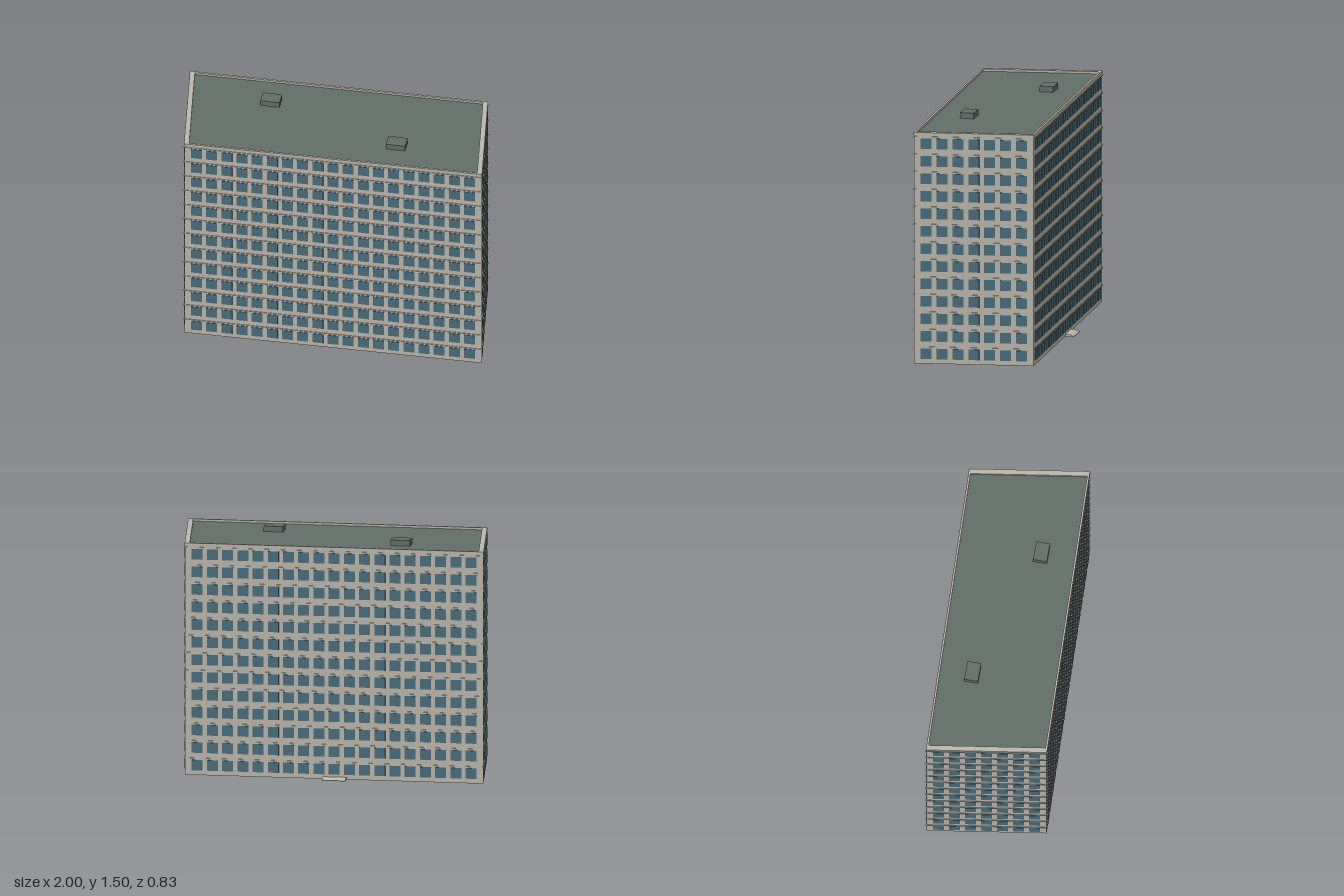
import * as THREE from 'three';
import { mergeGeometries } from 'three/addons/utils/BufferGeometryUtils.js';

const FLOORS = 13, PITCH = 0.112, ROOF = 1.464, TOP = 1.478;

// Ground plan, a skewed rectangle: u runs left to right, v back to front
const A = [-0.997, -0.334], B = [0.886, -0.387], D = [-0.886, 0.409];
const plan = (u, v) => [
  A[0] + u * (B[0] - A[0]) + v * (D[0] - A[0]),
  A[1] + u * (B[1] - A[1]) + v * (D[1] - A[1]),
];
const LONG = 1.885, SHORT = 0.751;

// Outline of the plan, inset by dx on the short sides and dz on the long sides
function corners(dx, dz) {
  const u = dx / LONG, v = dz / SHORT;
  return [plan(u, 1 - v), plan(1 - u, 1 - v), plan(1 - u, v), plan(u, v)]
    .map(([x, z]) => new THREE.Vector2(x, -z));
}

function slab(y, height, outer, hole) {
  const shape = new THREE.Shape(corners(...outer));
  if (hole) shape.holes.push(new THREE.Path(corners(...hole)));
  return new THREE.ExtrudeGeometry(shape, { depth: height, bevelEnabled: false })
    .rotateX(-Math.PI / 2).translate(0, y, 0);
}

// Thin panes in a regular grid over one wall, from corner p to corner q
function wallWindows(p, q, columns, margin) {
  const panes = [];
  const angle = Math.atan2(-(q[1] - p[1]), q[0] - p[0]);
  for (let c = 0; c < columns; c++) {
    const t = margin + (1 - 2 * margin) * c / (columns - 1);
    for (let f = 0; f < FLOORS; f++) {
      panes.push(new THREE.BoxGeometry(0.069, 0.067, 0.006).rotateY(angle).translate(
        p[0] + t * (q[0] - p[0]), 0.063 + f * PITCH, p[1] + t * (q[1] - p[1])));
    }
  }
  return mergeGeometries(panes);
}

export function createModel() {
  const group = new THREE.Group();
  const wall = new THREE.MeshStandardMaterial({ name: 'concrete', color: 0xbab7ae });
  const glass = new THREE.MeshStandardMaterial({ name: 'window glass', color: 0x4a6d7c });
  const roofing = new THREE.MeshStandardMaterial({ name: 'roofing', color: 0x636e69 });
  const add = (name, geometry, material) => {
    const mesh = new THREE.Mesh(geometry, material);
    mesh.name = name;
    group.add(mesh);
    return mesh;
  };

  // Main block, roof deck and parapet
  add('building', slab(0, ROOF - 0.004, [0, 0]), wall);
  add('roofDeck', slab(ROOF - 0.004, 0.004, [0.03, 0.011]), roofing);
  add('parapet', slab(ROOF - 0.004, TOP - ROOF + 0.004, [-0.002, -0.002], [0.03, 0.011]), wall);

  // Thin ledge above each row of windows
  for (let f = 1; f <= FLOORS; f++) {
    add('floorLedge', slab(f * PITCH - 0.009, 0.006, [-0.004, -0.004], [0.005, 0.005]), wall);
  }

  // Windows on all four walls
  const bl = plan(0, 0), br = plan(1, 0), fr = plan(1, 1), fl = plan(0, 1);
  add('frontWindows', wallWindows(fl, fr, 19, 0.041), glass);
  add('rightWindows', wallWindows(fr, br, 7, 0.1), glass);
  add('backWindows', wallWindows(br, bl, 19, 0.041), glass);
  add('leftWindows', wallWindows(bl, fl, 7, 0.1), glass);

  // Rooftop service boxes
  for (const [x, z] of [[-0.442, -0.136], [0.415, 0.152]]) {
    add('roofBox', new THREE.BoxGeometry(0.122, 1.5 - ROOF, 0.087), roofing)
      .position.set(x, (1.5 + ROOF) / 2, z);
  }

  // Sloping entrance ramp at the back
  const ramp = new THREE.Shape([
    new THREE.Vector2(0.355, 0), new THREE.Vector2(0.418, 0),
    new THREE.Vector2(0.418, 0.003), new THREE.Vector2(0.385, 0.014),
    new THREE.Vector2(0.355, 0.014),
  ]);
  add('entranceRamp', new THREE.ExtrudeGeometry(ramp, { depth: 0.15, bevelEnabled: false })
    .rotateY(Math.PI / 2).translate(-0.135, 0, 0), wall);

  return group;
}
